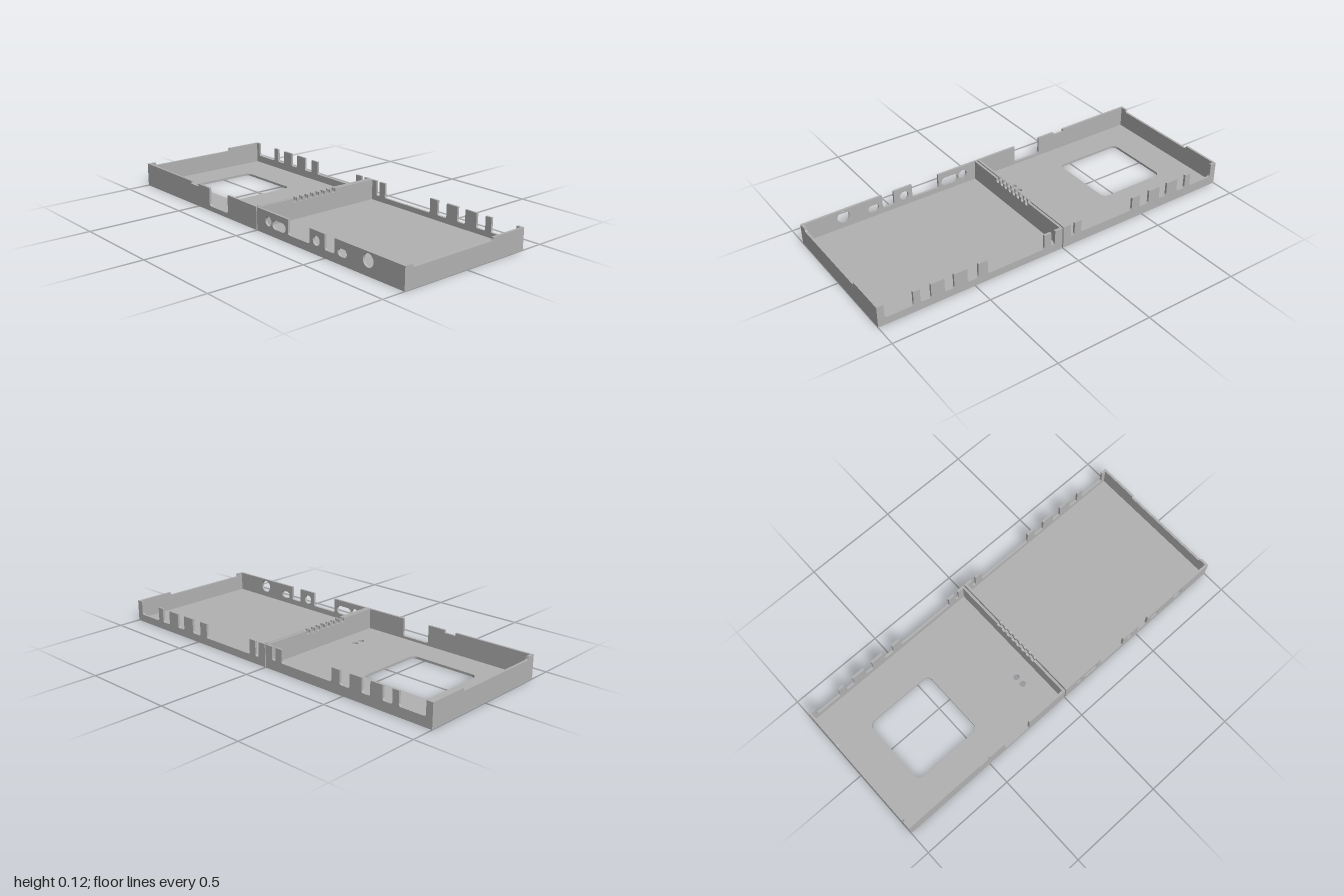
import * as THREE from 'three';

const W = 0.377;      // half depth of the case
const T = 0.012;      // wall and floor thickness
const GAP = 0.003;    // half of the seam between the trays
const rim = x => 0.1175 - 0.0065 * x; // the rim slopes slightly along the case

// Panel outline from a to b with rounded-bottom notches [start, end, bottom, radius] cut into its top
function panelShape(a, b, top, notches = []) {
  const s = new THREE.Shape();
  s.moveTo(a, 0);
  s.lineTo(b, 0);
  s.lineTo(b, top(b));
  for (const [n0, n1, y, radius = 0.012] of [...notches].sort((p, q) => q[0] - p[0])) {
    const r = Math.min(radius, (n1 - n0) / 2, top(n1) - y);
    s.lineTo(n1, top(n1));
    s.lineTo(n1, y + r);
    s.quadraticCurveTo(n1, y, n1 - r, y);
    s.lineTo(n0 + r, y);
    s.quadraticCurveTo(n0, y, n0, y + r);
    s.lineTo(n0, top(n0));
  }
  s.lineTo(a, top(a));
  s.closePath();
  return s;
}

// Rounded rectangle path; also serves for circles and oblong ports
function roundRect(cx, cy, w, h, r) {
  const p = new THREE.Path(), x = w / 2 - r, y = h / 2 - r;
  p.absarc(cx + x, cy + y, r, 0, Math.PI / 2);
  p.absarc(cx - x, cy + y, r, Math.PI / 2, Math.PI);
  p.absarc(cx - x, cy - y, r, Math.PI, Math.PI * 1.5);
  p.absarc(cx + x, cy - y, r, Math.PI * 1.5, Math.PI * 2);
  p.closePath();
  return p;
}
const circle = (x, y, r) => roundRect(x, y, 2 * r, 2 * r, r);

export function createModel() {
  const model = new THREE.Group();
  model.name = 'openCaseTrays';
  const grey = new THREE.MeshStandardMaterial({ color: 0xb2b2b2 });
  grey.name = 'casingGrey';

  function extrude(parent, name, shape, depth) {
    const geometry = new THREE.ExtrudeGeometry(shape, { depth, bevelEnabled: false, curveSegments: 10 });
    const mesh = new THREE.Mesh(geometry, grey);
    mesh.name = name;
    parent.add(mesh);
    return mesh;
  }
  // Wall running along z, its outer or inner faces at x0 and x0 + thickness
  function crossWall(parent, name, shape, x0, thickness) {
    const mesh = extrude(parent, name, shape, thickness);
    mesh.rotation.y = -Math.PI / 2;
    mesh.position.x = x0 + thickness;
  }

  // Vent teeth on the back wall, as distance from the seam
  const teeth = [[0, 0.047], [0.07, 0.11], [0.43, 0.48], [0.54, 0.61], [0.66, 0.73], [0.785, 0.82], [0.965, 1]];

  // Comb slots in the middle walls
  const combs = [];
  for (let i = 0; i < 8; i++) {
    const z = -0.108 + i * 0.0355;
    combs.push([z, z + 0.021, 0.098, 0.0105]);
  }

  for (const side of [-1, 1]) {
    const tray = new THREE.Group();
    tray.name = side < 0 ? 'rightTray' : 'leftTray';
    model.add(tray);
    const a = side < 0 ? -1 : GAP, b = side < 0 ? -GAP : 1;

    // Floor, with a square opening and two screw holes on one tray
    const fa = a + T, fb = b - T, fz = W - T;
    const floor = new THREE.Shape([[fa, -fz], [fb, -fz], [fb, fz], [fa, fz]].map(p => new THREE.Vector2(...p)));
    if (side < 0) {
      floor.holes.push(roundRect(-0.62, -0.022, 0.38, 0.375, 0.03));
      floor.holes.push(circle(-0.11, -0.14, 0.015), circle(-0.11, -0.187, 0.015));
    }
    extrude(tray, 'floor', floor, T).rotation.x = -Math.PI / 2;

    // Front wall with port cutouts
    const frontNotches = side < 0
      ? [[-0.565, -0.5, 0.106, 0.005], [-0.4, -0.24, 0.025, 0.015]]
      : [[0.24, 0.395, 0.04], [0.5, 0.565, 0.04]];
    const front = panelShape(a, b, rim, frontNotches);
    if (side > 0) {
      front.holes.push(
        circle(0.092, 0.068, 0.024),
        roundRect(0.172, 0.063, 0.1, 0.046, 0.0229),
        circle(0.442, 0.067, 0.024),
        roundRect(0.617, 0.058, 0.06, 0.038, 0.0189),
        circle(0.781, 0.072, 0.033));
    }
    extrude(tray, 'frontWall', front, T).position.z = W - T;

    // Back wall, low between the teeth
    const low = side < 0 ? 0.05 : 0.039;
    const gaps = teeth.slice(1).map(([start], i) => {
      const end = teeth[i][1];
      return side < 0 ? [-start, -end, low] : [end, start, low];
    });
    extrude(tray, 'backWall', panelShape(a, b, rim, gaps), T).position.z = -W;

    // Outer end wall with a long shallow dip
    const endTop = () => rim(side);
    const end = panelShape(-fz, fz, endTop, [[-0.165, 0.332, rim(side) - 0.016, 0.014]]);
    crossWall(tray, 'endWall', end, side < 0 ? -1 : 1 - T, T);

    // Middle wall with comb slots
    const middle = panelShape(-fz, fz, () => rim(0) + 0.002, combs);
    crossWall(tray, 'middleWall', middle, side < 0 ? b - T : a, T);
  }
  return model;
}
